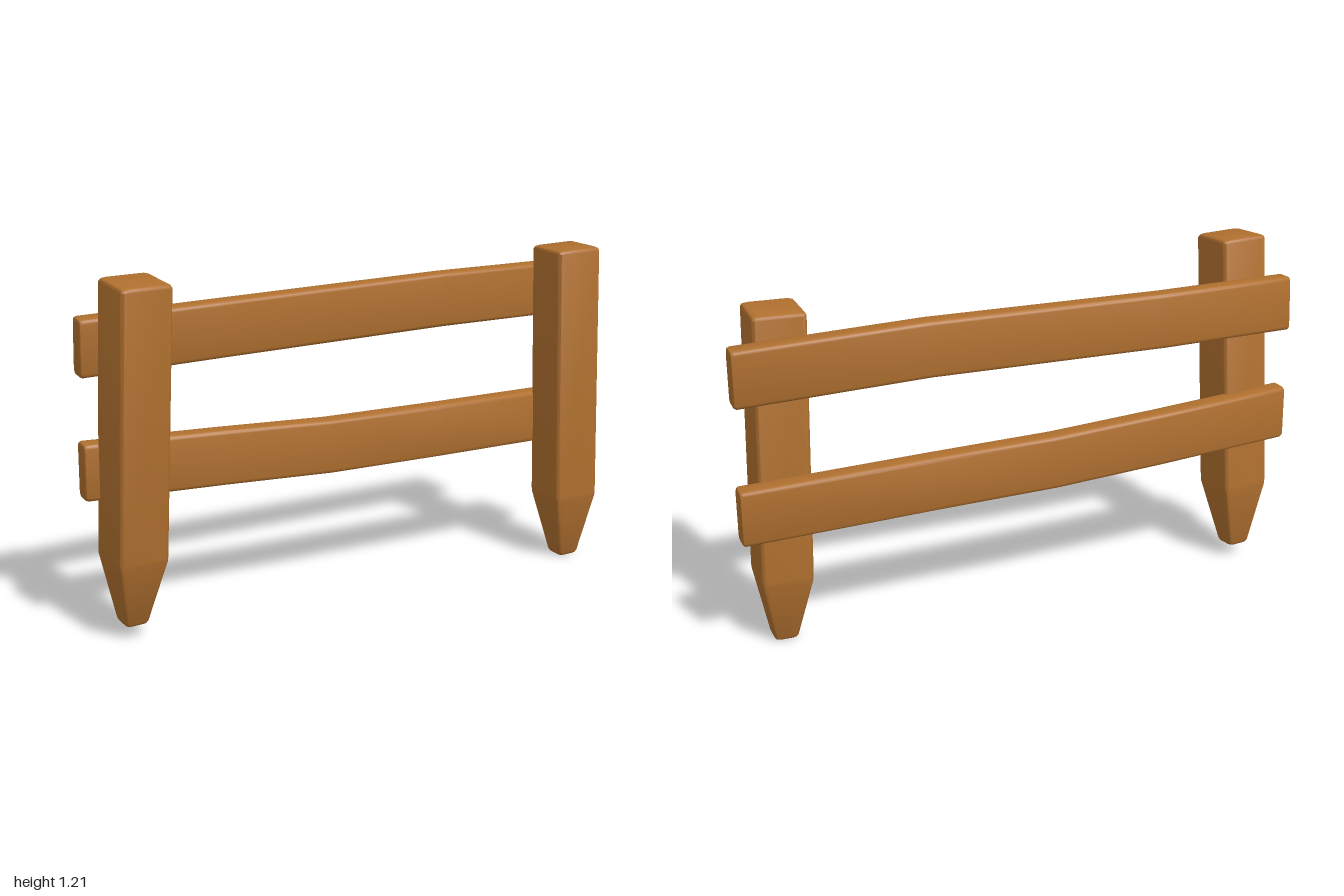
import * as THREE from 'three';
import { toCreasedNormals } from 'three/addons/utils/BufferGeometryUtils.js';

const wood = new THREE.MeshStandardMaterial({ color: 0xb0702f });
const EDGE = 0.014;

// Rounded rectangle outline, counter-clockwise, as [a, b] pairs
function outline(halfA, halfB, r = EDGE, steps = 3) {
  const points = [];
  [[1, 1], [-1, 1], [-1, -1], [1, -1]].forEach(([sa, sb], corner) => {
    for (let i = 0; i <= steps; i++) {
      const t = (corner + i / steps) * Math.PI / 2;
      points.push([sa * (halfA - r) + r * Math.cos(t), sb * (halfB - r) + r * Math.sin(t)]);
    }
  });
  return points;
}

// Skin a row of equal-sized rings and close both ends
function loft(rings) {
  const n = rings[0].length;
  const positions = rings.flat().flatMap((p) => p.toArray());
  const index = [];
  for (let k = 0; k < rings.length - 1; k++) {
    for (let i = 0; i < n; i++) {
      const a = k * n + i, b = k * n + (i + 1) % n;
      index.push(a, b, b + n, a, b + n, a + n);
    }
  }
  const last = (rings.length - 1) * n;
  for (let i = 1; i < n - 1; i++) {
    index.push(0, i + 1, i, last, last + i, last + i + 1);
  }
  const geometry = new THREE.BufferGeometry();
  geometry.setAttribute('position', new THREE.Float32BufferAttribute(positions, 3));
  geometry.setIndex(index);
  return toCreasedNormals(geometry, 0.6);
}

// Square stake with a tapered foot, standing on its local origin
function makePost(name, height, half) {
  const tip = 0.042;
  const profile = [
    [0, tip - 0.010], [0.004, tip - 0.004], [0.012, tip],
    [0.235, half - 0.001], [0.25, half],
    [height - 0.012, half], [height - 0.004, half - 0.004], [height, half - 0.012],
  ];
  const rings = profile.map(([y, h]) =>
    outline(h, h).map(([z, x]) => new THREE.Vector3(x, y, z)));
  const post = new THREE.Mesh(loft(rings), wood);
  post.name = name;
  return post;
}

// Bent plank along x; stations are [x, y, z, roll] of its centre line
function makeRail(name, stations) {
  const first = stations[0], end = stations[stations.length - 1];
  const shift = (s, d) => [s[0] + d, ...s.slice(1)];
  const rows = [
    [first, 0.01], [shift(first, 0.003), 0.003], [shift(first, 0.01), 0],
    ...stations.slice(1, -1).map((s) => [s, 0]),
    [shift(end, -0.01), 0], [shift(end, -0.003), 0.003], [end, 0.01],
  ];
  const rings = rows.map(([[x, y, z, roll], inset]) =>
    outline(0.096 - inset, 0.036 - inset).map(([a, b]) => new THREE.Vector3(
      x,
      y + a * Math.cos(roll) - b * Math.sin(roll),
      z + a * Math.sin(roll) + b * Math.cos(roll))));
  const rail = new THREE.Mesh(loft(rings), wood);
  rail.name = name;
  return rail;
}

export function createModel() {
  const fence = new THREE.Group();
  fence.name = 'fence';

  // Posts, each leaning a little
  const leftPost = makePost('leftPost', 1.17, 0.088);
  leftPost.position.set(0.85, 0.002, -0.002);
  leftPost.rotation.z = 0.025;

  const rightPost = makePost('rightPost', 1.165, 0.0875);
  rightPost.position.set(-0.865, 0.048, -0.04);
  rightPost.rotation.set(0.095, 0.1, -0.012);

  // Warped rails behind the posts
  const upperRail = makeRail('upperRail', [
    [-1, 0.985, -0.078, 0.08], [-0.5, 0.991, -0.1, 0.05],
    [0.35, 1.007, -0.105, 0.01], [1, 1.002, -0.128, 0],
  ]);
  const lowerRail = makeRail('lowerRail', [
    [-1, 0.576, -0.084, 0.03], [-0.5, 0.553, -0.098, 0.02],
    [-0.1, 0.534, -0.1, 0.01], [0.35, 0.53, -0.103, 0], [1, 0.525, -0.118, 0],
  ]);

  fence.add(leftPost, rightPost, upperRail, lowerRail);
  return fence;
}
